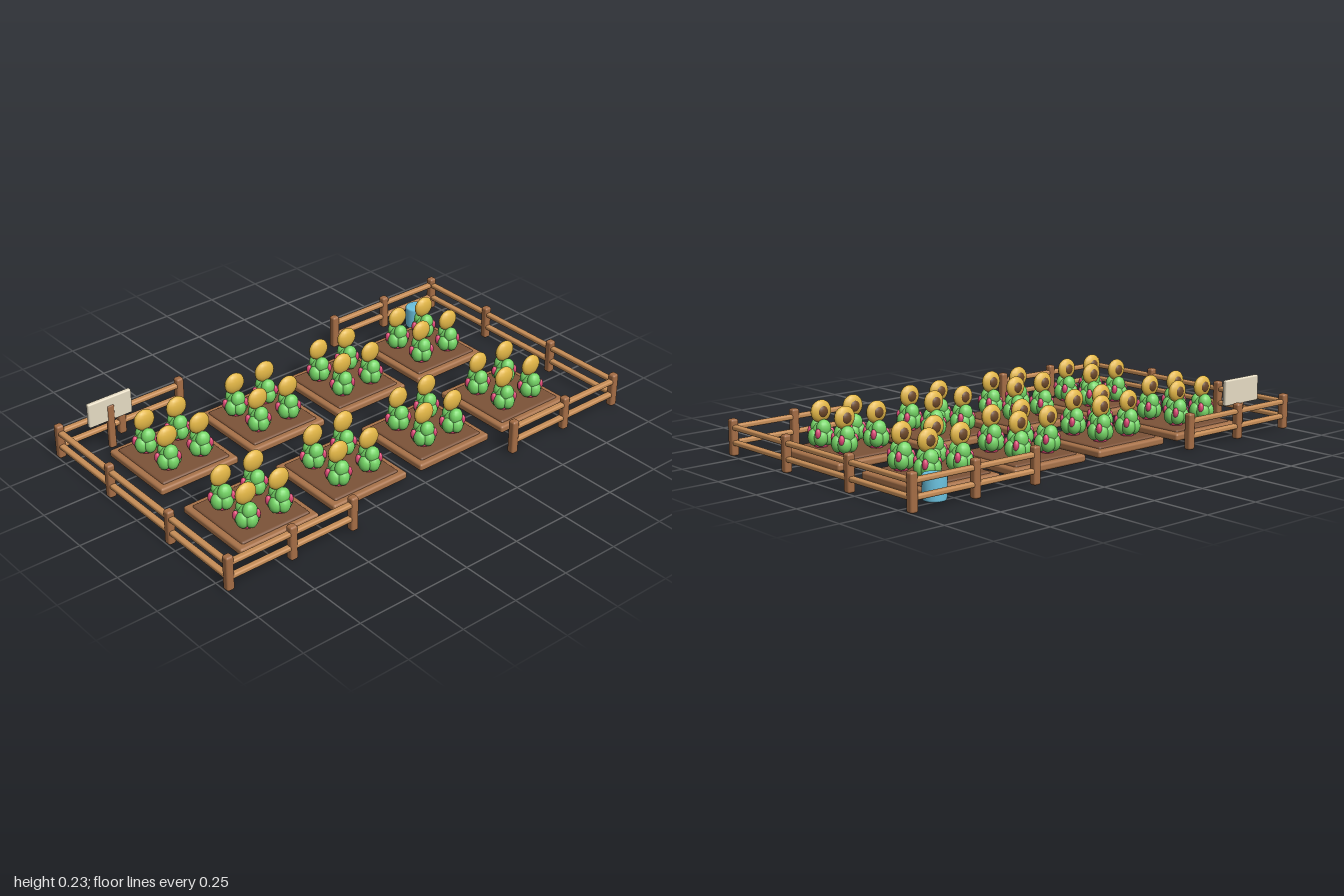
import * as THREE from 'three';
import { RoundedBoxGeometry } from 'three/addons/geometries/RoundedBoxGeometry.js';

const mat = (name, color) => Object.assign(new THREE.MeshStandardMaterial({ color }), { name });

export function createModel() {
  const M = {
    post: mat('post wood', 0xa56d45),
    rail: mat('rail wood', 0xc98f58),
    frame: mat('bed wood', 0xa9734a),
    soil: mat('soil', 0x7d5338),
    leaf: mat('leaf green', 0x74d465),
    fruit: mat('fruit pink', 0xdc4674),
    petal: mat('petal gold', 0xe2b646),
    seed: mat('seed brown', 0x6d4828),
    board: mat('sign board', 0xe6dcc4),
    bucket: mat('bucket blue', 0x6cc4e2),
  };
  const root = new THREE.Group();
  root.name = 'gardenPlot';
  const add = (parent, name, geo, material, x = 0, y = 0, z = 0) => {
    const m = new THREE.Mesh(geo, material);
    m.name = name;
    m.position.set(x, y, z);
    parent.add(m);
    return m;
  };
  const group = (parent, name, x = 0, y = 0, z = 0) => {
    const g = new THREE.Group();
    g.name = name;
    g.position.set(x, y, z);
    parent.add(g);
    return g;
  };

  // Fence: soft-edged posts, two rails per run, open at front and back
  const fence = group(root, 'fence');
  const postGeo = new RoundedBoxGeometry(0.033, 0.147, 0.033, 2, 0.009);
  const railX = new RoundedBoxGeometry(0.57, 0.02, 0.026, 2, 0.007);
  const railZ = new RoundedBoxGeometry(0.026, 0.02, 0.57, 2, 0.007);
  for (const sx of [-1, 1]) for (const sz of [-1, 1]) {
    for (const [x, z] of [[0.983, 0.557], [0.698, 0.557], [0.413, 0.557], [0.983, 0.197]])
      add(fence, 'fencePost', postGeo, M.post, sx * x, 0.0735, sz * z);
    for (const y of [0.053, 0.114]) {
      add(fence, 'endRail', railX, M.rail, sx * 0.698, y, sz * 0.557);
      add(fence, 'sideRail', railZ, M.rail, sx * 0.983, y, sz * 0.277);
    }
  }

  // Bed parts: a wooden slab with a raised layer of soil
  const slabGeo = new RoundedBoxGeometry(0.366, 0.031, 0.366, 2, 0.01);
  const soilGeo = new RoundedBoxGeometry(0.318, 0.03, 0.318, 2, 0.01);

  // Plant parts: leafy lobes, hanging fruit and a big flower
  const ball = new THREE.SphereGeometry(1, 14, 10);
  const blob = (parent, name, material, pos, size) => {
    const m = add(parent, name, ball, material, ...pos);
    m.scale.set(...size);
    return m;
  };
  const makePlant = (parent, x, z) => {
    const p = group(parent, 'plant', x, 0, z);
    blob(p, 'root', M.fruit, [0, 0.045, 0], [0.028, 0.02, 0.028]);
    blob(p, 'leafCore', M.leaf, [0, 0.09, 0], [0.036, 0.048, 0.036]);
    for (let i = 0; i < 5; i++) {
      const a = (i / 5) * Math.PI * 2 + Math.PI / 2;
      const lobe = blob(p, 'lowerLeaf', M.leaf,
        [Math.cos(a) * 0.028, 0.077, Math.sin(a) * 0.028], [0.025, 0.034, 0.028]);
      lobe.rotation.y = -a;
    }
    for (const s of [-1, 1])
      blob(p, 'upperLeaf', M.leaf, [0, 0.114, s * 0.02], [0.031, 0.034, 0.025]);
    for (const [fx, fy, fz] of [[0.034, 0.096, -0.029], [-0.04, 0.09, -0.016], [0.025, 0.097, 0.034]])
      blob(p, 'fruit', M.fruit, [fx, fy, fz], [0.012, 0.021, 0.012]);
    blob(p, 'flowerHead', M.petal, [0, 0.178, -0.003], [0.047, 0.045, 0.021]);
    blob(p, 'flowerCentre', M.seed, [0, 0.178, -0.013], [0.026, 0.026, 0.015]);
  };

  // Eight beds of four plants
  for (const bx of [-0.655, -0.218, 0.218, 0.655]) for (const bz of [-0.252, 0.252]) {
    const bed = group(root, 'plantingBed', bx, 0, bz);
    add(bed, 'woodenSlab', slabGeo, M.frame, 0, 0.0155, 0);
    add(bed, 'soil', soilGeo, M.soil, 0, 0.0235, 0);
    for (const s of [-1, 1]) for (const t of [-1, 1]) makePlant(bed, s * 0.076, t * 0.077);
  }

  // Sign by the back opening
  const sign = group(root, 'sign', -0.787, 0, -0.492);
  add(sign, 'signPost', new RoundedBoxGeometry(0.03, 0.195, 0.023, 2, 0.006), M.post, 0, 0.0975, 0.003);
  add(sign, 'signBoard', new RoundedBoxGeometry(0.2, 0.106, 0.02, 2, 0.006), M.board, 0, 0.178, 0);

  // Bucket in the back corner
  const bucketGeo = new THREE.LatheGeometry([
    [0, 0], [0.043, 0], [0.045, 0.006], [0.047, 0.088], [0.043, 0.095], [0, 0.095],
  ].map(p => new THREE.Vector2(...p)), 20);
  add(root, 'bucket', bucketGeo, M.bucket, 0.815, 0, -0.472);

  return root;
}
